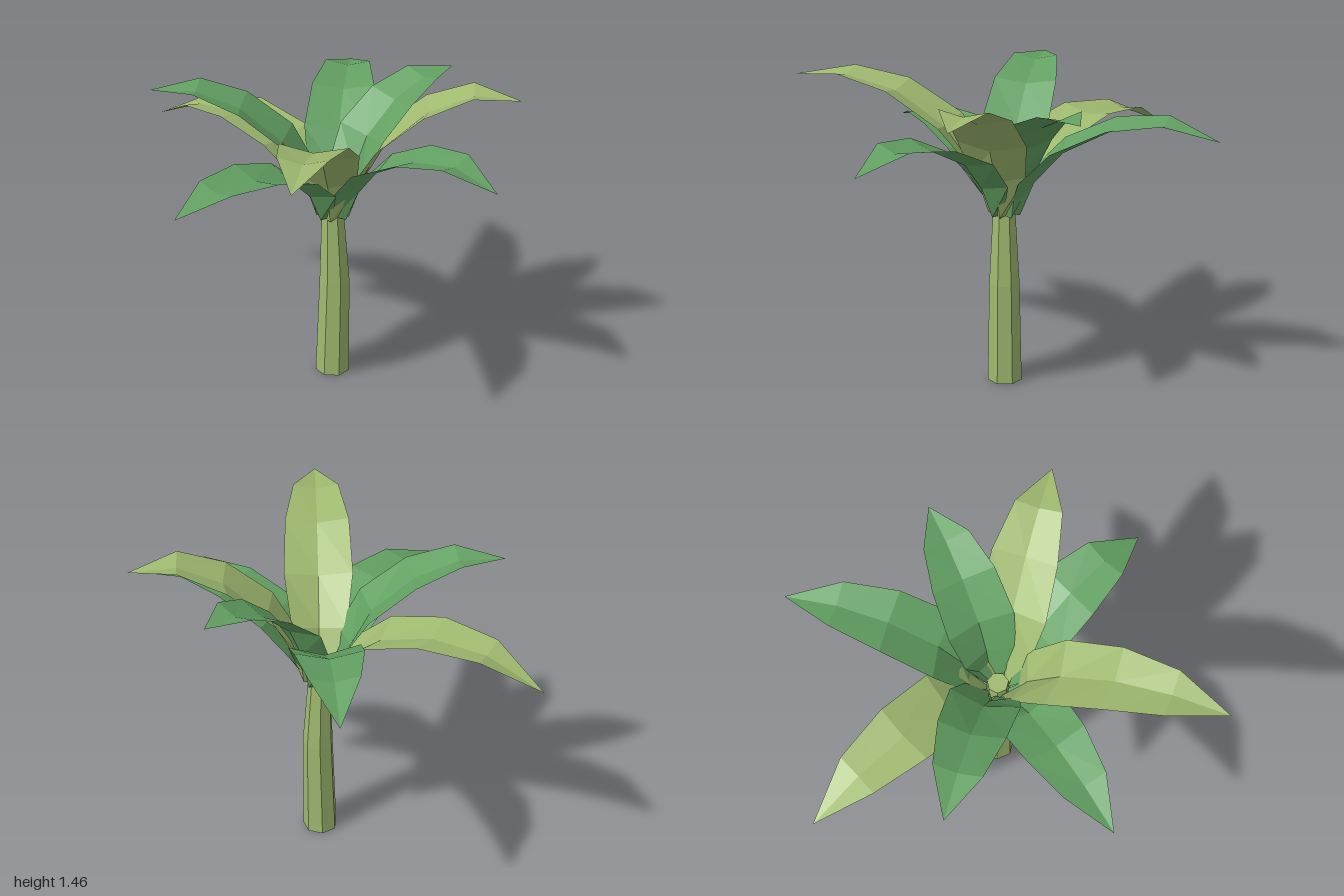
import * as THREE from 'three';

const CX = 0.02, CZ = -0.03; // axis of the trunk and crown

// Skins equal-length rows of points with flat-shaded quads
function skin(rows) {
  const pos = [];
  for (let i = 0; i < rows.length - 1; i++) {
    for (let j = 0; j < rows[i].length - 1; j++) {
      const a = rows[i][j], b = rows[i][j + 1], c = rows[i + 1][j + 1], d = rows[i + 1][j];
      for (const p of [a, b, c, a, c, d]) pos.push(p.x, p.y, p.z);
    }
  }
  const g = new THREE.BufferGeometry();
  g.setAttribute('position', new THREE.Float32BufferAttribute(pos, 3));
  g.computeVertexNormals();
  return g;
}

// Gutter-shaped leaf: a spine with raised edges, pointing along +z before it is turned
function leafGeometry(length, heights) {
  const reach = [0.075, Math.min(0.14, length * 0.17), 0.28 * length, 0.51 * length, 0.75 * length, length];
  const halfWidth = [0.035, 0.125, 0.158, 0.148, 0.107, 0.001];
  const rise = [0.045, 0.05, 0.04, 0.03, 0.025, 0];
  const rows = heights.map((y, i) => {
    const a = Math.max(i - 1, 0), b = Math.min(i + 1, 5);
    const dz = reach[b] - reach[a], dy = heights[b] - y + y - heights[a];
    const l = Math.hypot(dz, dy);
    const ez = reach[i] - (dy / l) * rise[i], ey = y + (dz / l) * rise[i];
    return [
      new THREE.Vector3(-halfWidth[i], ey, ez),
      new THREE.Vector3(0, y, reach[i]),
      new THREE.Vector3(halfWidth[i], ey, ez),
    ];
  });
  return skin(rows);
}

export function createModel() {
  const model = new THREE.Group();
  const olive = new THREE.MeshStandardMaterial({ color: 0x9fb96f, side: THREE.DoubleSide });
  olive.name = 'olive green';
  const green = new THREE.MeshStandardMaterial({ color: 0x62a062, side: THREE.DoubleSide });
  green.name = 'leaf green';

  // Seven-sided trunk, slightly bowed and tapered, closed at both ends
  const ring = (x, y, z, r) => Array.from({ length: 8 }, (_, i) => {
    const t = Math.PI + (i / 7) * Math.PI * 2;
    return new THREE.Vector3(x + Math.sin(t) * r, y, z + Math.cos(t) * r);
  });
  const trunk = new THREE.Mesh(skin([
    ring(CX, 0, -0.034, 0),
    ring(CX, 0, -0.034, 0.082),
    ring(0.03, 0.49, -0.034, 0.072),
    ring(CX, 0.88, CZ, 0.05),
    ring(CX, 0.88, CZ, 0),
  ]), olive);
  trunk.name = 'trunk';
  model.add(trunk);

  // Leaves: tip x, tip z, material, spine heights from base to tip
  const leaves = [
    [0.06, -1.0, green, [0.82, 0.98, 1.13, 1.25, 1.285, 1.23]],
    [0.55, -0.47, green, [0.82, 1.01, 1.17, 1.31, 1.385, 1.40]],
    [0.85, 0.01, olive, [0.82, 1.01, 1.18, 1.35, 1.435, 1.42]],
    [0.74, 0.44, green, [0.82, 0.97, 1.10, 1.205, 1.235, 1.17]],
    [-0.08, 0.99, olive, [0.82, 1.02, 1.21, 1.36, 1.415, 1.40]],
    [-0.6, 0.63, green, [0.82, 0.96, 1.07, 1.14, 1.15, 1.10]],
    [-0.8, -0.05, green, [0.82, 1.01, 1.18, 1.335, 1.41, 1.41]],
    [-0.86, -0.62, olive, [0.82, 0.98, 1.12, 1.195, 1.18, 1.07]],
  ];
  leaves.forEach(([x, z, material, heights], i) => {
    const dx = x - CX, dz = z - CZ;
    const leaf = new THREE.Mesh(leafGeometry(Math.hypot(dx, dz), heights), material);
    leaf.name = 'leaf' + (i + 1);
    leaf.position.set(CX, 0, CZ);
    leaf.rotation.y = Math.atan2(dx, dz);
    model.add(leaf);
  });
  return model;
}
